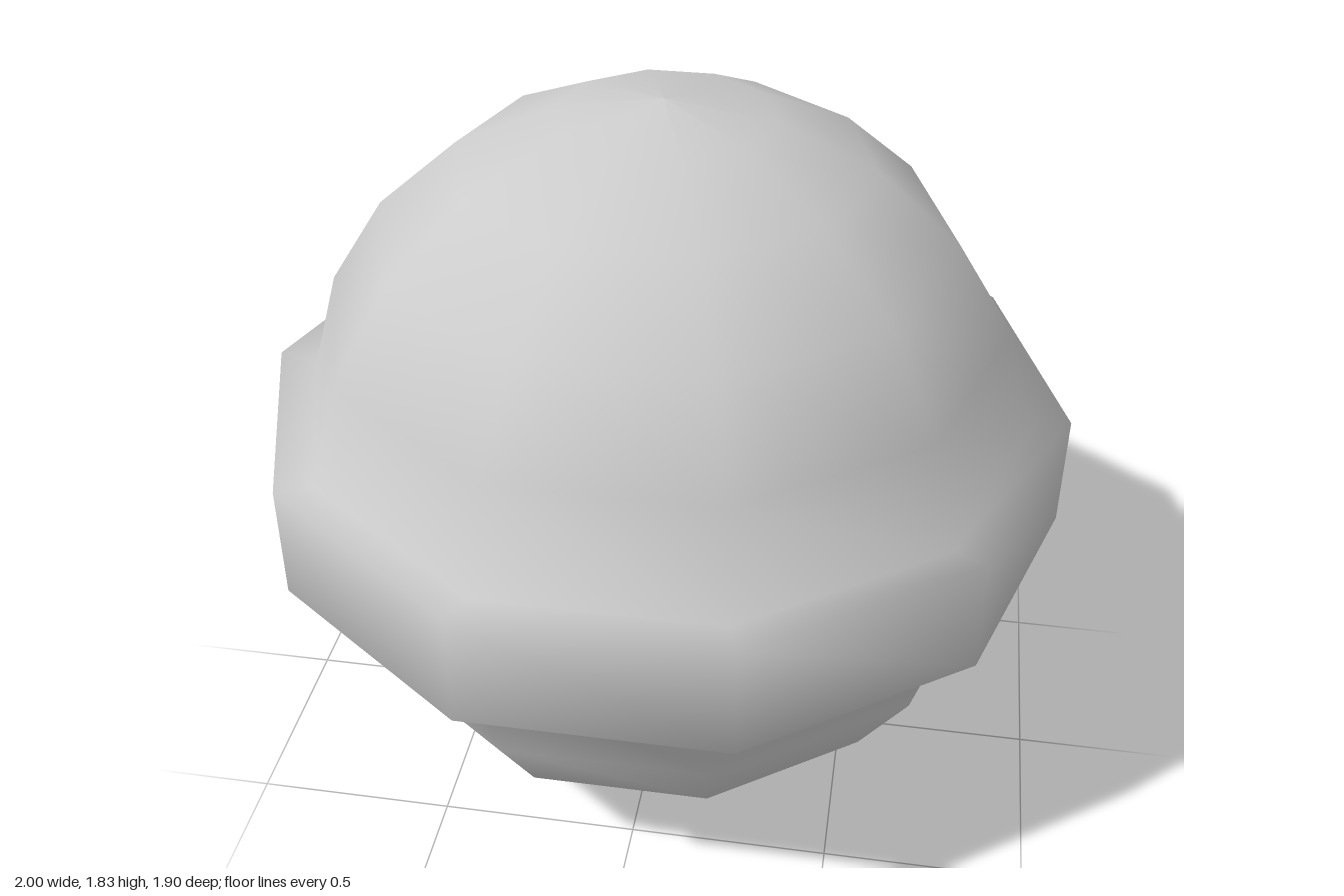
import * as THREE from 'three';

const RADIUS = 0.915;   // ball radius, also the height of its centre
const SIDES = 10;
const BANDS = 11;       // latitude bands; the middle one is raised as the ring
const RING_SCALE = 1.104;

export function createModel() {
  const group = new THREE.Group();
  group.name = 'ringedBall';

  // Profile from bottom pole to top pole, stepping out at the middle band
  const point = (i, scale = 1) => {
    const a = (i / BANDS) * Math.PI;
    const r = i === 0 || i === BANDS ? 0 : Math.sin(a) * RADIUS * scale;
    return new THREE.Vector2(r, RADIUS - Math.cos(a) * RADIUS * scale);
  };
  const low = (BANDS - 1) / 2;
  const profile = [];
  for (let i = 0; i <= BANDS; i++) {
    if (i === low + 1) profile.push(point(i, RING_SCALE));
    profile.push(point(i));
    if (i === low) profile.push(point(i, RING_SCALE));
  }

  // Ball and raised equator ring are one smooth-shaded surface
  const ball = new THREE.Mesh(
    new THREE.LatheGeometry(profile, SIDES, Math.PI / 2),
    new THREE.MeshStandardMaterial({ color: 0xcccccc })
  );
  ball.name = 'ballWithRing';
  group.add(ball);

  return group;
}
